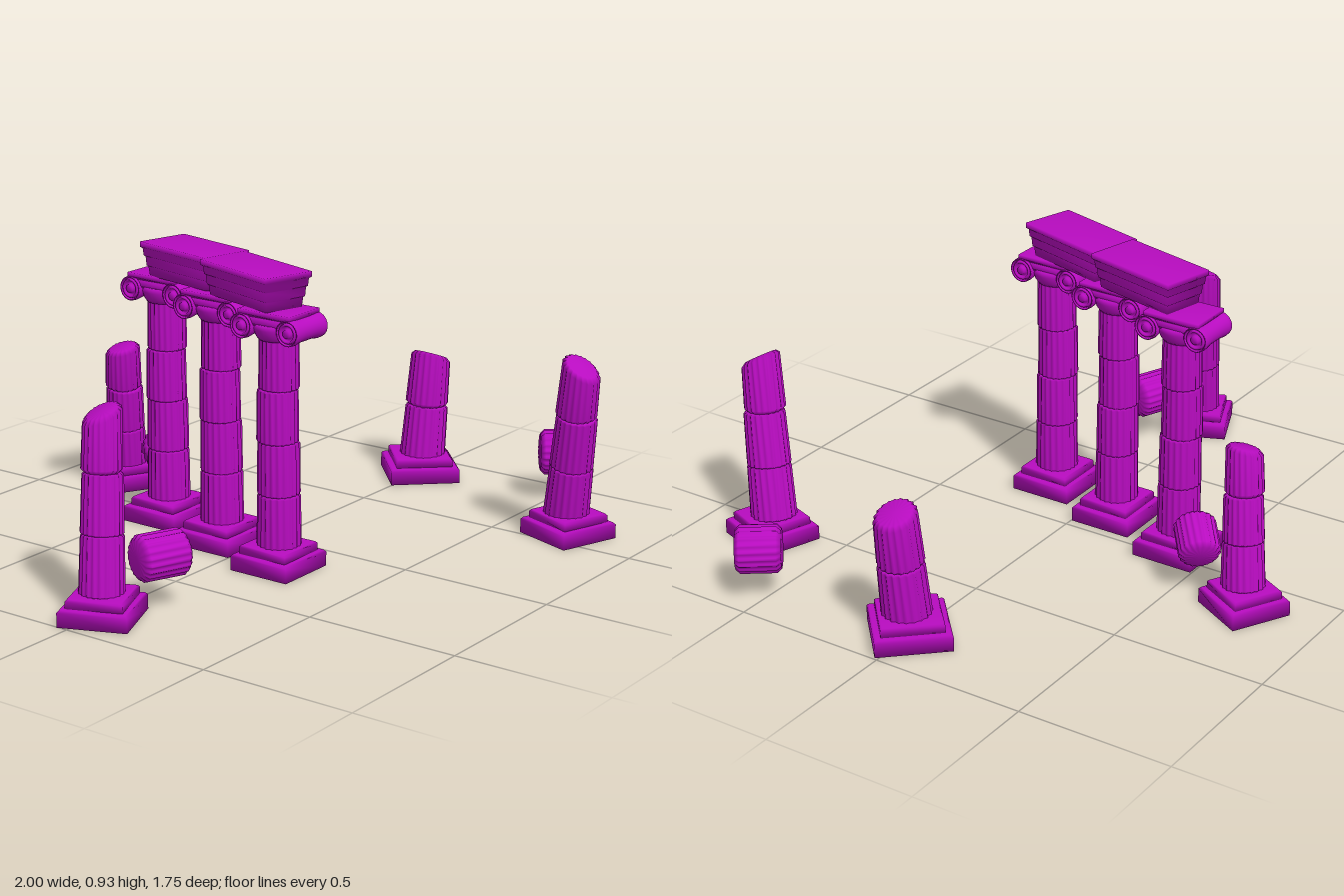
import * as THREE from 'three';
import { mergeVertices } from 'three/addons/utils/BufferGeometryUtils.js';

const stone = new THREE.MeshStandardMaterial({ color: 0xb80cc0 });
stone.name = 'magentaStone';

const FLUTES = 20;

// Turned solid with shared vertices; rule(v) may move each vertex
function turned(profile, segments, rule, start = 0) {
  let geo = new THREE.LatheGeometry(profile.map(([r, y]) => new THREE.Vector2(r, y)), segments, start);
  geo.deleteAttribute('normal');
  geo.deleteAttribute('uv');
  if (rule) {
    const p = geo.attributes.position, v = new THREE.Vector3();
    for (let i = 0; i < p.count; i++) {
      v.fromBufferAttribute(p, i);
      rule(v);
      p.setXYZ(i, v.x, v.y, v.z);
    }
  }
  geo = mergeVertices(geo, 1e-5);
  geo.computeVertexNormals();
  return geo;
}

function add(parent, name, geo) {
  const mesh = new THREE.Mesh(geo, stone);
  mesh.name = name;
  parent.add(mesh);
  return mesh;
}

// Square solid from [half width, y] pairs, stretched along z by extra
function squareSolid(profile, extraZ = 0) {
  const pts = profile.map(([w, y]) => [w * Math.SQRT2, y]);
  return turned(pts, 4, v => {
    if (Math.abs(v.z) > 1e-4) v.z += Math.sign(v.z) * extraZ / 2;
  }, Math.PI / 4);
}

// Fluted drum; cut = [slope x, slope z] slants a broken top
function drumGeometry(r0, r1, h, bevel = 0.006, cut = null) {
  const profile = [
    [0, 0], [r0 - bevel, 0], [r0, bevel],
    [r1, h - bevel], [r1 - bevel, h], [0, h],
  ];
  return turned(profile, FLUTES * 4, v => {
    const a = Math.atan2(v.x, v.z);
    const k = 1 - 0.075 * Math.abs(Math.sin(a * FLUTES / 2));
    v.x *= k;
    v.z *= k;
    if (cut && v.y > h / 2) v.y += cut[0] * v.x + cut[1] * v.z;
  });
}

// Stack of drums, tapering upward
function shaft(height, count, r0, r1, cut) {
  const g = new THREE.Group();
  g.name = 'shaft';
  const h = height / count;
  for (let i = 0; i < count; i++) {
    const ra = r0 + (r1 - r0) * i / count;
    const rb = r0 + (r1 - r0) * (i + 1) / count;
    const last = i === count - 1;
    const d = add(g, 'drum', drumGeometry(ra, rb, h, last && cut ? 0.012 : 0.005, last ? cut : null));
    d.position.set(0.002 * Math.sin(i * 2.3), i * h, 0.002 * Math.cos(i * 1.7));
  }
  return g;
}

// Two-step square base
function base(size = 0.21) {
  const g = new THREE.Group();
  g.name = 'base';
  const a = size / 2, b = size * 0.41;
  add(g, 'plinth', squareSolid([[0, 0], [a, 0], [a, 0.045], [a - 0.006, 0.052], [0, 0.052]]));
  add(g, 'upperStep', squareSolid([[0, 0.05], [b, 0.05], [b, 0.074], [b - 0.005, 0.08], [0, 0.08]]));
  return g;
}

// Capital with a pair of scrolls whose axes run along x
function capital() {
  const g = new THREE.Group();
  g.name = 'capital';
  add(g, 'echinus', turned([[0, 0], [0.062, 0], [0.07, 0.012], [0.078, 0.035], [0.075, 0.05], [0, 0.05]], 32));
  const bar = add(g, 'scrollBar', squareSolid([[0, 0.042], [0.064, 0.042], [0.068, 0.05], [0.068, 0.074], [0, 0.074]], 0.04));
  bar.position.y = 0.002;
  add(g, 'abacus', squareSolid([[0, 0.072], [0.07, 0.072], [0.076, 0.08], [0.076, 0.092], [0, 0.092]], 0.04));
  const half = [[0.013, 0.08], [0.015, 0.07], [0.022, 0.07], [0.024, 0.077], [0.03, 0.077],
    [0.031, 0.07], [0.034, 0.07], [0.035, 0.077], [0.039, 0.077], [0.04, 0.06], [0.036, 0.03]];
  const spool = [[0, -0.08], ...half.map(([r, y]) => [r, -y]), ...half.slice().reverse(), [0, 0.08]];
  for (const s of [-1, 1]) {
    const scroll = add(g, 'scroll', turned(spool, 28));
    scroll.rotation.z = Math.PI / 2;
    scroll.position.set(0, 0.04, s * 0.086);
  }
  return g;
}

export function createModel() {
  const model = new THREE.Group();
  model.name = 'ruinedColonnade';

  // Three standing columns
  for (const [x, z] of [[-0.217, 0.177], [-0.135, -0.107], [-0.05, -0.39]]) {
    const col = new THREE.Group();
    col.name = 'standingColumn';
    const s = shaft(0.665, 4, 0.069, 0.061);
    s.position.y = 0.075;
    const cap = capital();
    cap.position.y = 0.73;
    col.add(base(), s, cap);
    col.position.set(x, 0, z);
    model.add(col);
  }

  // Lintel blocks across the capitals, stepped outward toward the top
  const steps = [[0, 0], [0.066, 0], [0.069, 0.03], [0.073, 0.033], [0.075, 0.062],
    [0.079, 0.065], [0.081, 0.088], [0.087, 0.093], [0.087, 0.11], [0, 0.11]];
  for (const [x, z, turn, tilt] of [[-0.186, 0.067, -0.29, 0], [-0.088, -0.245, -0.24, -0.012]]) {
    const block = add(model, 'lintel', squareSolid(steps, 0.155));
    block.position.set(x, 0.822, z);
    block.rotation.set(tilt, turn, 0, 'YXZ');
  }

  // Broken leaning columns: base centre, turn, size, shaft foot and head, drums, radii, cut
  const broken = [
    { at: [-0.865, 0.022], turn: 0.4, size: 0.212, foot: [-0.862, 0.07, 0.015], head: [-0.797, 0.605, -0.02], n: 3, r: [0.069, 0.058], cut: [0.5, 0.1] },
    { at: [0.578, 0.735], turn: -0.34, size: 0.214, foot: [0.572, 0.07, 0.728], head: [0.513, 0.583, 0.805], n: 3, r: [0.074, 0.062], cut: [0, -0.45] },
    { at: [0.83, 0.005], turn: 0.75, size: 0.233, foot: [0.832, 0.07, 0.01], head: [0.866, 0.42, 0.018], n: 2, r: [0.077, 0.067], cut: [-0.3, 0] },
    { at: [0.154, -0.742], turn: -0.5, size: 0.2, foot: [0.15, 0.07, -0.737], head: [0.088, 0.5, -0.688], n: 3, r: [0.068, 0.057], cut: [0.12, 0.2] },
  ];
  for (const c of broken) {
    const col = new THREE.Group();
    col.name = 'brokenColumn';
    const b = base(c.size);
    b.position.set(c.at[0], 0, c.at[1]);
    b.rotation.y = c.turn;
    const foot = new THREE.Vector3(...c.foot);
    const lean = new THREE.Vector3(...c.head).sub(foot);
    const s = shaft(lean.length(), c.n, c.r[0], c.r[1], c.cut);
    s.position.copy(foot);
    s.quaternion.setFromUnitVectors(new THREE.Vector3(0, 1, 0), lean.normalize());
    col.add(b, s);
    model.add(col);
  }

  // Loose drums lying on their sides: centre, axis, length, radius
  const loose = [
    [[0.891, 0.16, 0.522], [0.59, 0, 0.81], 0.14, 0.075],
    [[-0.7, 0.165, 0.105], [0.92, 0, 0.38], 0.155, 0.072],
    [[0.12, 0.167, -0.555], [0.67, -0.45, -0.58], 0.135, 0.066],
  ];
  for (const [at, axis, len, r] of loose) {
    const geo = drumGeometry(r, r, len, 0.014);
    geo.translate(0, -len / 2, 0);
    const d = add(model, 'fallenDrum', geo);
    d.position.set(...at);
    d.quaternion.setFromUnitVectors(new THREE.Vector3(0, 1, 0), new THREE.Vector3(...axis).normalize());
  }
  return model;
}
